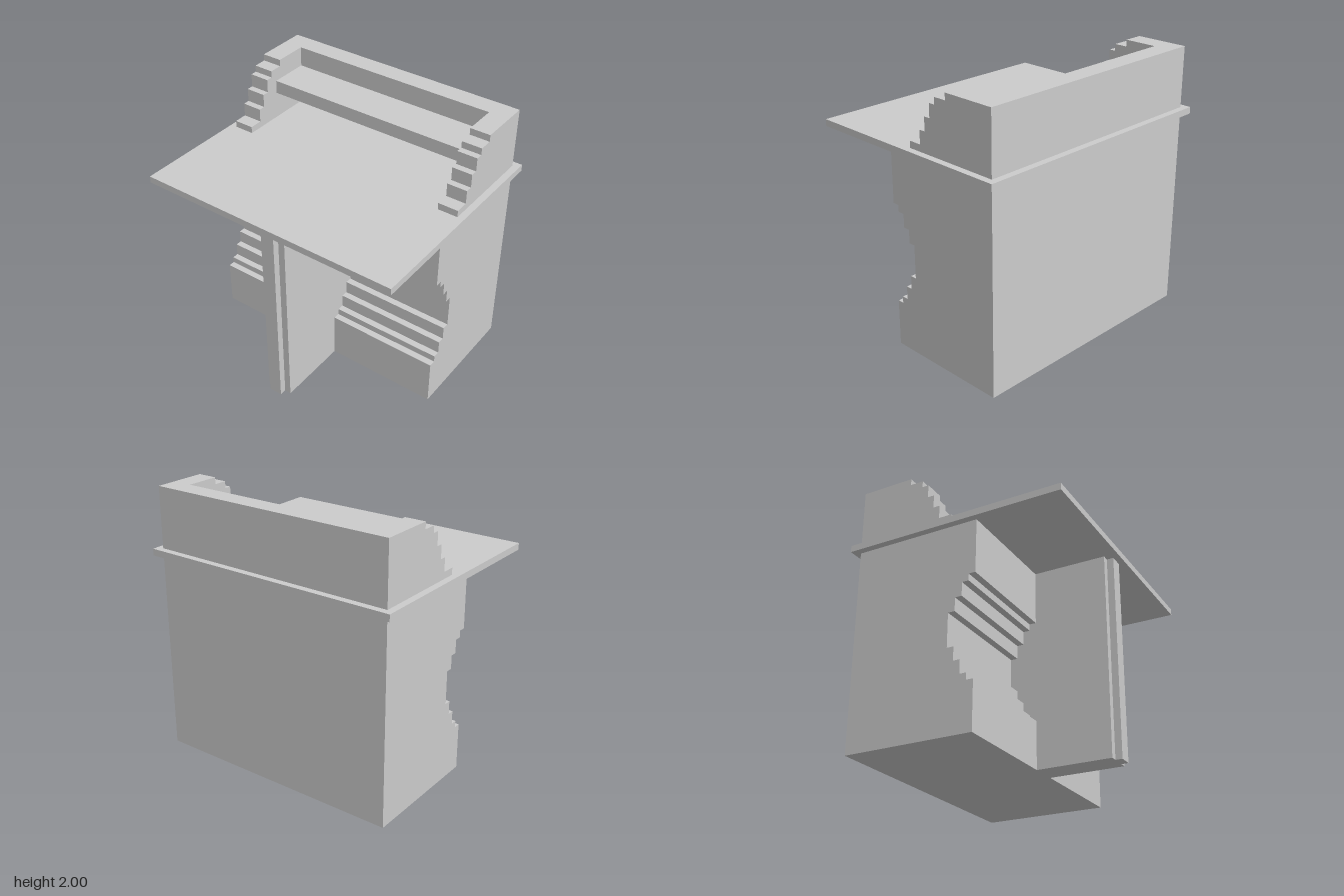
import * as THREE from 'three';

const material = new THREE.MeshStandardMaterial({ color: 0xcccccc, flatShading: true });

export function createModel() {
  const model = new THREE.Group();

  function add(name, geometry) {
    const mesh = new THREE.Mesh(geometry, material);
    mesh.name = name;
    model.add(mesh);
    return mesh;
  }

  // Box given by its min and max on each axis
  function box(name, [x0, x1], [y0, y1], [z0, z1]) {
    add(name, new THREE.BoxGeometry(x1 - x0, y1 - y0, z1 - z0))
      .position.set((x0 + x1) / 2, (y0 + y1) / 2, (z0 + z1) / 2);
  }

  // Solid with a flat back and a stepped front; each step is [top y, front z]
  function stepped(name, width, centerX, backZ, bottomY, steps) {
    const shape = new THREE.Shape();
    shape.moveTo(backZ, bottomY);
    let y = bottomY;
    for (const [top, z] of steps) {
      shape.lineTo(z, y);
      shape.lineTo(z, top);
      y = top;
    }
    shape.lineTo(backZ, y);
    const geometry = new THREE.ExtrudeGeometry(shape, { depth: width, bevelEnabled: false });
    geometry.translate(0, 0, -width / 2);
    geometry.rotateY(-Math.PI / 2);
    add(name, geometry).position.x = centerX;
  }

  const back = -0.775;

  // Main body with a stepped hollow across its front
  stepped('body', 1.9, 0, back, 0, [
    [0.35, 0.175], [0.4, 0.125], [0.5, 0.075], [0.6, 0.025], [0.85, -0.025],
    [0.95, 0.025], [1.05, 0.075], [1.1, 0.125], [1.5, 0.175],
  ]);

  // Central support fin and its narrow front strip
  box('supportFin', [-0.1, 0.1], [0, 1.5], [-0.05, 0.725]);
  box('finStrip', [-0.05, 0.05], [0, 1.5], [0.725, 0.775]);

  // Overhanging top
  box('tabletop', [-1, 1], [1.5, 1.55], [-0.825, 0.825]);

  // Stepped side walls standing on the top
  for (const [name, side] of [['leftSideWall', 1], ['rightSideWall', -1]]) {
    stepped(name, 0.15, side * 0.875, back, 1.55, [
      [1.6, -0.025], [1.7, -0.125], [1.8, -0.175],
      [1.9, -0.225], [1.95, -0.275], [2, -0.375],
    ]);
  }

  // Back wall and the raised shelf between the side walls
  box('backWall', [-0.8, 0.8], [1.55, 2], [back, -0.625]);
  box('shelf', [-0.8, 0.8], [1.75, 1.85], [-0.625, -0.325]);

  return model;
}
